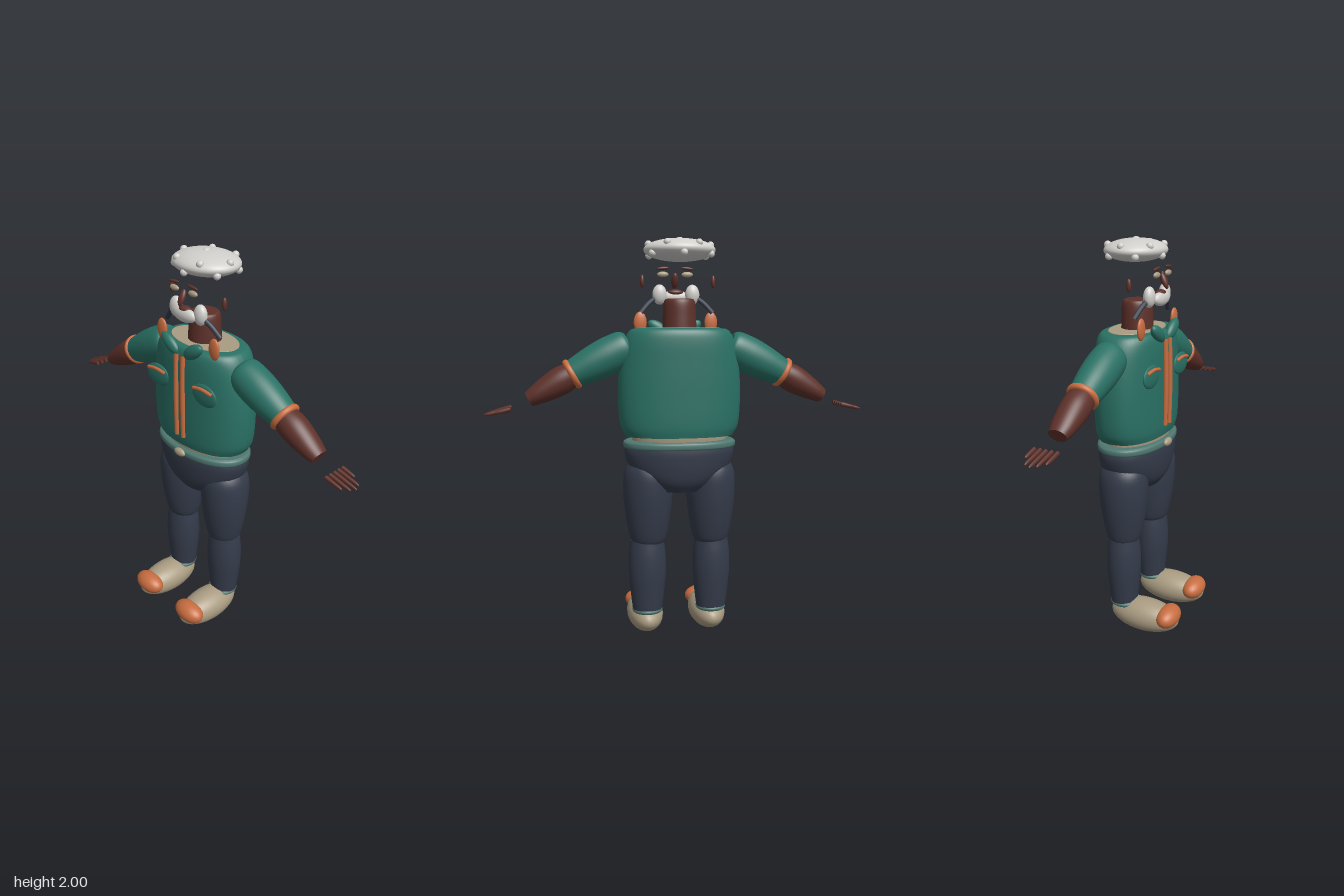
import * as THREE from 'three';

const mat = (name, color) => {
  const m = new THREE.MeshStandardMaterial({ color });
  m.name = name;
  return m;
};
const V = (x, y, z) => new THREE.Vector3(x, y, z);
const UP = V(0, 1, 0);

// Smooth body from cross-sections [height, rx, rz]; n is the squareness of the section
function loft(rows, n = 2, seg = 40, steps = 24) {
  const rings = new THREE.CatmullRomCurve3(rows.map(r => V(...r)), false, 'centripetal').getPoints(steps);
  const pos = [], idx = [];
  const ring = r => {
    const start = pos.length / 3;
    for (let j = 0; j <= seg; j++) {
      const a = ((j % seg) / seg) * Math.PI * 2, c = Math.cos(a), s = Math.sin(a);
      pos.push(r.y * Math.sign(c) * Math.abs(c) ** (2 / n), r.x, r.z * Math.sign(s) * Math.abs(s) ** (2 / n));
    }
    return start;
  };
  rings.forEach(ring);
  for (let i = 0; i < rings.length - 1; i++) {
    for (let j = 0; j < seg; j++) {
      const a = i * (seg + 1) + j, b = a + seg + 1;
      idx.push(a, b, b + 1, a, b + 1, a + 1);
    }
  }
  // end caps with their own vertices, so the rims stay crisp
  [rings[0], rings[rings.length - 1]].forEach((r, top) => {
    const s = ring(r), c = pos.length / 3;
    pos.push(0, r.x, 0);
    for (let j = 0; j < seg; j++) top ? idx.push(c, s + j + 1, s + j) : idx.push(c, s + j, s + j + 1);
  });
  const g = new THREE.BufferGeometry();
  g.setAttribute('position', new THREE.Float32BufferAttribute(pos, 3));
  g.setIndex(idx);
  g.computeVertexNormals();
  return g;
}

export function createModel() {
  const root = new THREE.Group();
  root.name = 'figure';
  const teal = mat('teal jacket', 0x2a7165), navy = mat('navy cloth', 0x343b4a), brown = mat('brown skin', 0x5e312a);
  const orange = mat('orange trim', 0xc76d40), beige = mat('beige', 0xaa9c82), white = mat('pale grey', 0xd0cfcb);
  const belt = mat('grey teal', 0x507871);
  const Z = -0.075; // body centre line

  const add = (name, geo, m, p = [0, 0, 0], rot = [0, 0, 0]) => {
    const mesh = new THREE.Mesh(geo, m);
    mesh.name = name;
    mesh.position.set(...p);
    mesh.rotation.set(...rot);
    root.add(mesh);
    return mesh;
  };
  const ball = (name, m, p, r, rot, seg = 28) => {
    const mesh = add(name, new THREE.SphereGeometry(1, seg, Math.round(seg * 0.7)), m, p, rot);
    mesh.scale.set(...r);
    return mesh;
  };
  const tube = (name, m, pts, r) =>
    add(name, new THREE.TubeGeometry(new THREE.CatmullRomCurve3(pts.map(p => V(...p))), 16, r, 10), m);
  const aim = (mesh, dir) => mesh.quaternion.setFromUnitVectors(UP, dir.clone().normalize());

  // Torso, hips and belt
  add('shirt', loft([[1.0, 0.235, 0.14], [1.05, 0.24, 0.145], [1.3, 0.25, 0.14], [1.5, 0.23, 0.135], [1.573, 0.2, 0.12]]), beige, [0, 0, Z]);
  add('jacket', loft([[1.045, 0.27, 0.155], [1.09, 0.293, 0.162], [1.25, 0.305, 0.164], [1.4, 0.295, 0.164],
    [1.5, 0.275, 0.163], [1.545, 0.255, 0.157], [1.565, 0.235, 0.145], [1.57, 0.205, 0.125]], 2.3, 56, 32), teal, [0, 0, Z]);
  add('hips', loft([[0.77, 0.12, 0.11], [0.82, 0.19, 0.143], [0.88, 0.248, 0.157], [0.96, 0.275, 0.163], [1.0, 0.27, 0.16]], 2.2), navy, [0, 0, Z]);
  add('belt', loft([[0.983, 0.268, 0.157], [0.992, 0.28, 0.166], [1.014, 0.28, 0.166], [1.023, 0.268, 0.157]], 2.2, 48), belt, [0, 0, Z]);
  ball('buckle', beige, [0, 1.004, 0.093], [0.038, 0.021, 0.017]);
  add('neck', loft([[1.54, 0.084, 0.08], [1.62, 0.082, 0.077], [1.69, 0.077, 0.073], [1.708, 0.07, 0.066], [1.712, 0.06, 0.056]]), brown, [0, 0, Z]);

  // Studded cap
  ball('cap', white, [0, 1.943, -0.08], [0.175, 0.055, 0.148], [0, 0, 0], 40);
  ball('capTopStud', white, [0, 1.992, -0.08], [0.02, 0.013, 0.02], [0, 0, 0], 14);
  for (let i = 0; i < 12; i++) {
    const a = (i / 12) * Math.PI * 2, low = i % 2;
    ball('capStud', white, [Math.cos(a) * (low ? 0.163 : 0.152), low ? 1.921 : 1.968, -0.08 + Math.sin(a) * (low ? 0.137 : 0.128)],
      [0.018, 0.018, 0.018], [0, 0, 0], 14);
  }

  // Face
  ball('nose', brown, [0, 1.806, 0.07], [0.018, 0.041, 0.015], [-0.4, 0, 0]);
  ball('beardCentre', white, [0, 1.722, 0.055], [0.075, 0.036, 0.026]);
  ball('mouth', brown, [0, 1.747, 0.05], [0.04, 0.017, 0.024]);

  for (const s of [1, -1]) {
    const side = s > 0 ? 'left' : 'right';
    ball(side + 'Eye', beige, [s * 0.062, 1.837, 0.06], [0.029, 0.014, 0.012]);
    ball(side + 'Eyebrow', brown, [s * 0.062, 1.867, 0.062], [0.032, 0.008, 0.008], [0, 0, -s * 0.1]);
    ball(side + 'Ear', brown, [s * 0.177, 1.798, -0.026], [0.011, 0.031, 0.012]);
    ball(side + 'Beard', white, [s * 0.083, 1.736, 0.032], [0.036, 0.05, 0.028]);
    tube(side + 'Strap', navy, [[s * 0.1, 1.722, 0.03], [s * 0.14, 1.692, 0.018], [s * 0.182, 1.645, 0.002]], 0.012);
    ball(side + 'ShoulderTab', orange, [s * 0.18, 1.599, 0.038], [0.033, 0.053, 0.014]);

    // Jacket details
    ball(side + 'Collar', teal, [s * 0.078, 1.565, 0.075], [0.069, 0.033, 0.026], [0, 0, s * 0.6]);
    tube(side + 'Placket', orange, [[s * 0.023, 1.535, 0.088], [s * 0.023, 1.32, 0.092], [s * 0.023, 1.1, 0.088]], 0.013);
    ball(side + 'Pocket', teal, [s * 0.165, 1.376, 0.083], [0.081, 0.056, 0.014]);
    tube(side + 'PocketTrim', orange, [[s * 0.1, 1.4, 0.093], [s * 0.163, 1.41, 0.097], [s * 0.226, 1.4, 0.093]], 0.009);

    // Arm
    const shoulder = V(s * 0.246, 1.487, Z), elbow = V(s * 0.525, 1.35, Z), wrist = V(s * 0.735, 1.231, Z);
    const sleeve = add(side + 'Sleeve', loft([[0, 0.066, 0.066], [0.02, 0.083, 0.081], [0.1, 0.092, 0.088], [0.2, 0.086, 0.084], [0.311, 0.068, 0.07]]),
      teal, shoulder.toArray());
    aim(sleeve, elbow.clone().sub(shoulder));
    const armDir = wrist.clone().sub(elbow);
    const forearm = add(side + 'Forearm', loft([[-0.02, 0.058, 0.062], [0.06, 0.069, 0.069], [0.13, 0.062, 0.066], [0.2, 0.048, 0.057], [0.241, 0.037, 0.046]]),
      brown, elbow.toArray());
    aim(forearm, armDir);
    const cuff = add(side + 'SleeveCuff', new THREE.TorusGeometry(0.063, 0.016, 14, 36).rotateX(Math.PI / 2), orange, elbow.toArray());
    aim(cuff, armDir);

    // Fingers
    [0.89, 0.935, 0.947, 0.935, 0.91].forEach((tip, i) => {
      const z = -0.135 + i * 0.029, from = V(s * 0.82, 1.19, z), to = V(s * tip, 1.19 - (tip - 0.82) * 0.24, z);
      const dir = to.clone().sub(from), len = dir.length();
      const finger = add(side + 'Finger', loft([[0, 0.012, 0.01], [len * 0.6, 0.01, 0.009], [len * 0.92, 0.007, 0.006], [len, 0.003, 0.003]], 2, 12, 8),
        brown, from.toArray());
      aim(finger, dir);
    });

    // Leg and shoe
    add(side + 'Thigh', loft([[0.5, 0.08, 0.074], [0.52, 0.09, 0.085], [0.62, 0.11, 0.108], [0.77, 0.124, 0.125], [0.87, 0.115, 0.12], [0.94, 0.07, 0.08]]),
      navy, [s * 0.16, 0, Z]);
    add(side + 'Shin', loft([[0.14, 0.074, 0.068], [0.22, 0.084, 0.076], [0.34, 0.095, 0.086], [0.44, 0.093, 0.084], [0.51, 0.084, 0.076]]),
      navy, [s * 0.165, 0, Z]);
    add(side + 'TrouserCuff', new THREE.TorusGeometry(0.065, 0.013, 12, 36).rotateX(Math.PI / 2), belt, [s * 0.165, 0.145, Z + 0.005]);
    ball(side + 'Shoe', beige, [s * 0.165, 0.087, 0.047], [0.093, 0.085, 0.192]);
    ball(side + 'ToeCap', orange, [s * 0.165, 0.11, 0.183], [0.091, 0.055, 0.059]);
  }
  return root;
}
